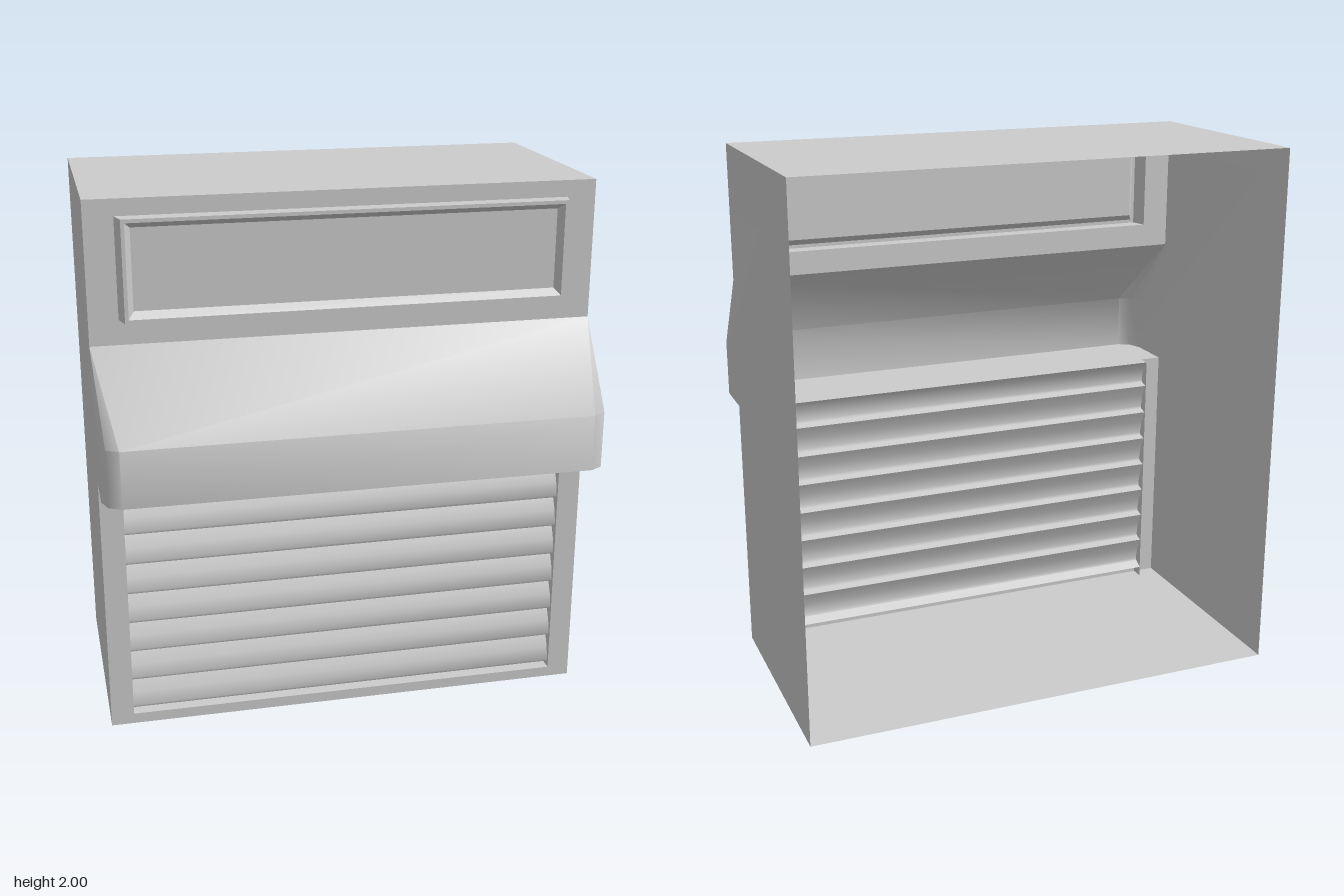
import * as THREE from 'three';
import { toCreasedNormals } from 'three/addons/utils/BufferGeometryUtils.js';

const material = new THREE.MeshStandardMaterial({ color: 0xcccccc, side: THREE.DoubleSide });

// Mesh from convex polygons, each fanned from its first corner
function surface(name, polygons, crease = 0.5) {
  const pos = [];
  for (const p of polygons)
    for (let i = 1; i < p.length - 1; i++) pos.push(...p[0], ...p[i], ...p[i + 1]);
  const geometry = new THREE.BufferGeometry();
  geometry.setAttribute('position', new THREE.Float32BufferAttribute(pos, 3));
  geometry.computeVertexNormals();
  const mesh = new THREE.Mesh(toCreasedNormals(geometry, crease), material);
  mesh.name = name;
  return mesh;
}

const rect = (x, y0, y1, z) => [[-x, y0, z], [x, y0, z], [x, y1, z], [-x, y1, z]];
const mirror = (poly) => {
  const m = poly.map(([x, y, z]) => [-x, y, z]);
  return [m[0], ...m.slice(1).reverse()];
};

// Flat wall facing +z with a rectangular hole
function wallWithHole(name, outer, hole, z) {
  const toPoints = (r) => r.map(([x, y]) => new THREE.Vector2(x, y));
  const shape = new THREE.Shape(toPoints(outer));
  shape.holes.push(new THREE.Path(toPoints(hole)));
  const mesh = new THREE.Mesh(new THREE.ShapeGeometry(shape), material);
  mesh.position.z = z;
  mesh.name = name;
  return mesh;
}

export function createModel() {
  const model = new THREE.Group();
  const W = 0.915, BACK = -0.58, TOP = 2;
  const FRONT = 0.32, UPPER = 0.3, HOOD = 0.99, BEND = 1.2, RIDGE = 1.49;
  const OPEN = 0.83, SILL = 0.04, INNER = 0.27;

  // Hood and side walls share smoothed corners
  const plan = [[-W, 0.5], [-0.895, 0.555], [-0.85, 0.58], [0.85, 0.58], [0.895, 0.555], [W, 0.5]];
  const low = plan.map(([x, z]) => [x, HOOD, z]);
  const mid = plan.map(([x, z]) => [x, BEND, z]);
  const ridgeL = [-W, RIDGE, UPPER], ridgeR = [W, RIDGE, UPPER];
  const shell = [];
  for (let i = 0; i < plan.length - 1; i++) {
    shell.push([low[i], low[i + 1], mid[i + 1], mid[i]]);
    if (i === 2) shell.push([mid[2], mid[3], ridgeR, ridgeL]);
    else shell.push([mid[i], mid[i + 1], i < 2 ? ridgeL : ridgeR]);
  }
  const side = [
    [BACK, TOP], [UPPER, TOP], [UPPER, RIDGE], [0.5, BEND],
    [0.5, HOOD], [FRONT, HOOD], [FRONT, 0], [BACK, 0],
  ].map(([z, y]) => [W, y, z]);
  shell.push(side, mirror(side));
  model.add(surface('hoodAndSides', shell, 0.85));

  // Roof and floor; the back stays open
  model.add(surface('roof', [[[-W, TOP, UPPER], [W, TOP, UPPER], [W, TOP, BACK], [-W, TOP, BACK]]]));
  model.add(surface('floor', [[[-W, 0, BACK], [W, 0, BACK], [W, 0, FRONT], [-W, 0, FRONT]]]));

  // Underside of the hood, reaching back over the louvers
  model.add(surface('hoodUnderside', [
    [...low, [W, HOOD, FRONT], [-W, HOOD, FRONT]].reverse(),
    [[-OPEN, HOOD, INNER], [OPEN, HOOD, INNER], [OPEN, HOOD, FRONT], [-OPEN, HOOD, FRONT]],
  ]));

  // Lower front frame and its recess
  const jambFace = [[OPEN, 0, FRONT], [W, 0, FRONT], [W, HOOD, FRONT], [OPEN, HOOD, FRONT]];
  const jambSide = [[OPEN, 0, INNER], [OPEN, 0, FRONT], [OPEN, HOOD, FRONT], [OPEN, HOOD, INNER]];
  model.add(surface('louverFrame', [
    jambFace, mirror(jambFace), jambSide, mirror(jambSide),
    rect(OPEN, 0, SILL, FRONT),
    [[-OPEN, SILL, FRONT], [OPEN, SILL, FRONT], [OPEN, SILL, INNER], [-OPEN, SILL, INNER]],
  ]));

  // Louvers: one rippled sheet with an overhanging lip per slat
  const profile = [[INNER, SILL]];
  for (let i = 0; i < 8; i++) {
    const y = 0.06 + i * 0.119;
    profile.push([0.305, y], [0.309, y + 0.01], [0.299, y + 0.06], [0.275, Math.min(y + 0.11, HOOD)]);
  }
  const slats = [];
  for (let i = 0; i < profile.length - 1; i++) {
    const [[z0, y0], [z1, y1]] = [profile[i], profile[i + 1]];
    slats.push([[-OPEN, y0, z0], [OPEN, y0, z0], [OPEN, y1, z1], [-OPEN, y1, z1]]);
  }
  model.add(surface('louvers', slats, 0.6));

  // Upper front wall around the display window
  model.add(wallWithHole('upperFront', rect(W, RIDGE, TOP, 0), rect(0.81, 1.58, 1.94, 0), UPPER));

  // Window box: tapered ends, narrow lip and bevelled panel
  const rings = [
    rect(0.81, 1.58, 1.94, UPPER),
    rect(0.793, 1.58, 1.94, 0.362),
    rect(0.78, 1.593, 1.927, 0.362),
    rect(0.76, 1.617, 1.907, 0.335),
  ];
  const box = [rings[3]];
  for (let r = 0; r < 3; r++)
    for (let i = 0; i < 4; i++) {
      const j = (i + 1) % 4;
      box.push([rings[r][i], rings[r][j], rings[r + 1][j], rings[r + 1][i]]);
    }
  model.add(surface('displayWindow', box, 0.5));

  return model;
}
